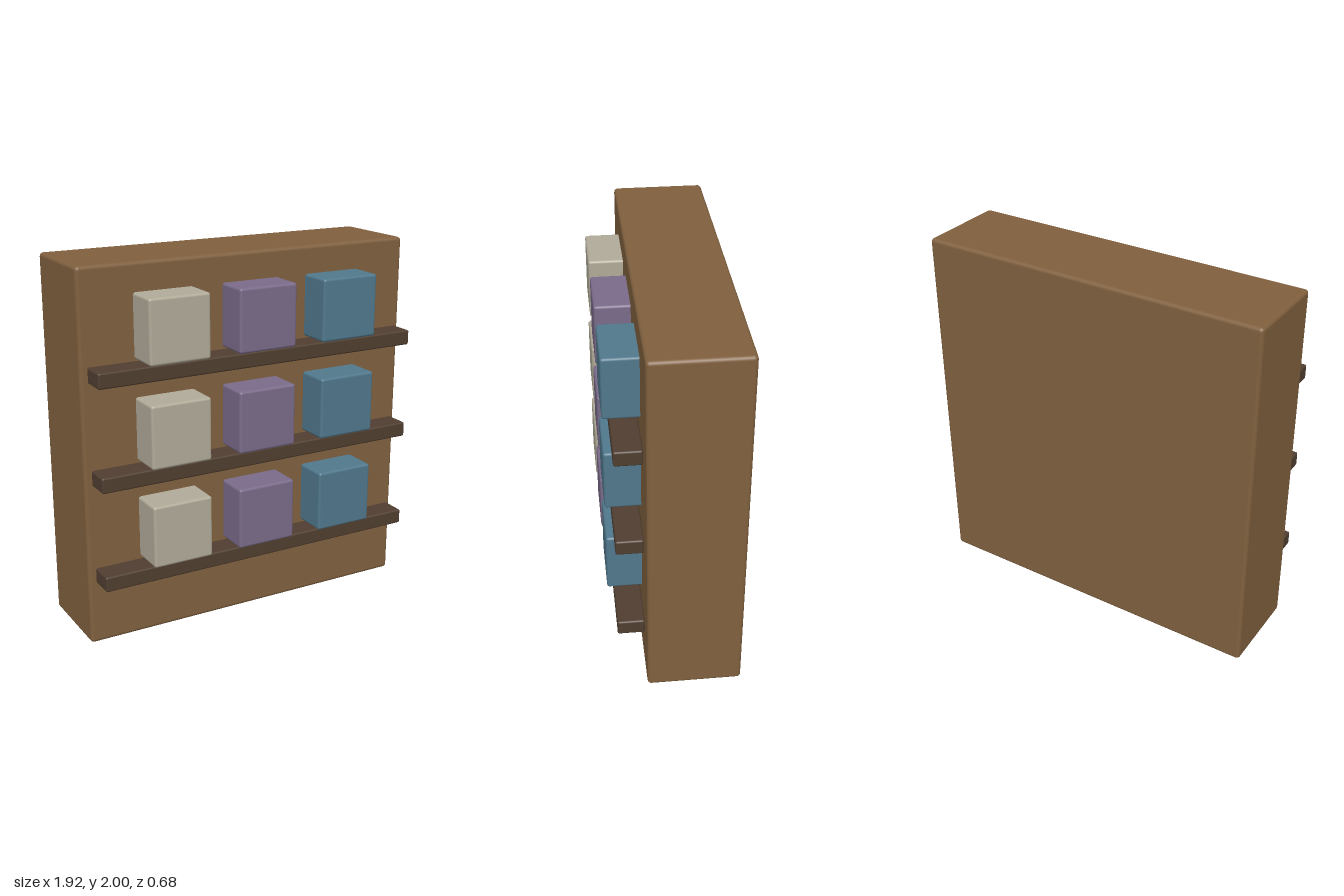
import * as THREE from 'three';
import { RoundedBoxGeometry } from 'three/addons/geometries/RoundedBoxGeometry.js';

const paint = (color) => new THREE.MeshStandardMaterial({ color });

// Softly rounded block from its size, base height and z range
function block(name, material, width, height, zBack, zFront, x, yBase, radius) {
  const depth = zFront - zBack;
  const mesh = new THREE.Mesh(new RoundedBoxGeometry(width, height, depth, 3, radius), material);
  mesh.name = name;
  mesh.position.set(x, yBase + height / 2, (zBack + zFront) / 2);
  return mesh;
}

export function createModel() {
  const model = new THREE.Group();
  model.name = 'displayShelf';

  const wood = paint(0x80603e);
  const darkWood = paint(0x503e30);
  const boxPaints = [paint(0xb0aa98), paint(0x7a6b8a), paint(0x50788c)];

  // Cabinet body
  model.add(block('cabinet', wood, 1.924, 2, -0.34, 0.157, 0, 0, 0.02));

  // Three shelves, each carrying three coloured boxes
  for (let row = 0; row < 3; row++) {
    const y = 0.354 + row * 0.536;
    const level = new THREE.Group();
    level.name = `shelfRow${row + 1}`;
    level.add(block('shelf', darkWood, 1.854, 0.082, 0.167, 0.307, 0, y, 0.01));
    boxPaints.forEach((material, i) => {
      level.add(block('box', material, 0.335, 0.336, 0.11, 0.342, (i - 1) * 0.5, y + 0.088, 0.014));
    });
    model.add(level);
  }
  return model;
}
